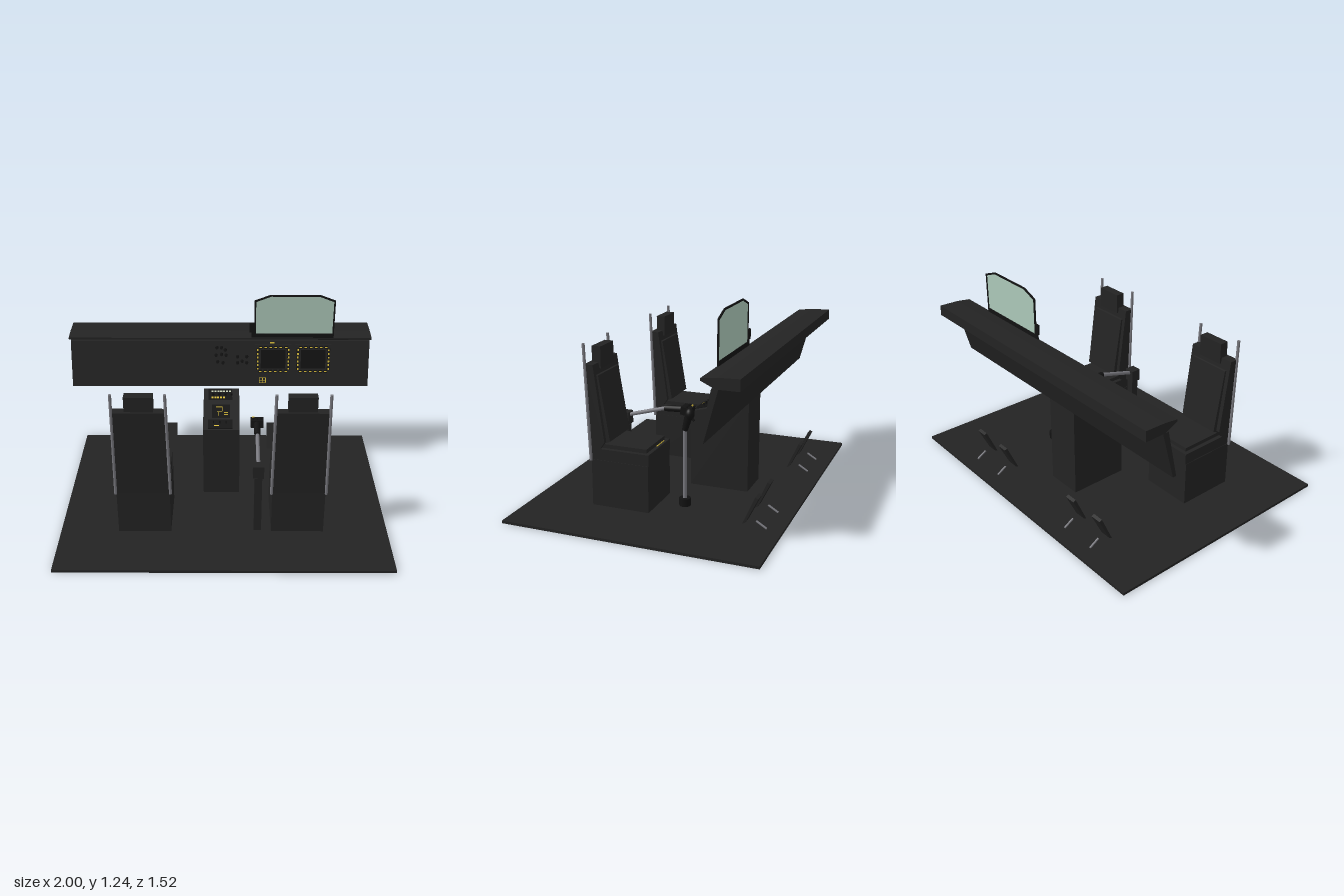
import * as THREE from 'three';

const mat = (name, color, side = THREE.FrontSide) => {
  const m = new THREE.MeshStandardMaterial({ color, side });
  m.name = name;
  return m;
};

export function createModel() {
  const root = new THREE.Group();
  root.name = 'cockpit';
  const dark = mat('charcoal', 0x232323);
  const black = mat('black', 0x121212);
  const grey = mat('rod grey', 0x77777d);
  const yellow = mat('marking yellow', 0xd8bc3a);
  const pale = mat('marking pale', 0xc2cbb4);
  const green = mat('glass green', 0xadc9b9, THREE.DoubleSide);

  const add = (parent, name, geo, m, x = 0, y = 0, z = 0) => {
    const mesh = new THREE.Mesh(geo, m);
    mesh.name = name;
    mesh.position.set(x, y, z);
    parent.add(mesh);
    return mesh;
  };
  const group = (name, x, y, z, rx = 0, parent = root) => {
    const g = new THREE.Group();
    g.name = name;
    g.position.set(x, y, z);
    g.rotation.x = rx;
    parent.add(g);
    return g;
  };
  // box given by its limits
  const box = (parent, name, m, x0, x1, y0, y1, z0, z1) =>
    add(parent, name, new THREE.BoxGeometry(x1 - x0, y1 - y0, z1 - z0), m,
      (x0 + x1) / 2, (y0 + y1) / 2, (z0 + z1) / 2);
  // side profile of [z, y] points swept across x
  const prism = (parent, name, m, pts, x0, x1) => {
    const geo = new THREE.ExtrudeGeometry(new THREE.Shape(pts.map(p => new THREE.Vector2(...p))),
      { depth: x1 - x0, bevelEnabled: false });
    geo.translate(0, 0, -(x1 - x0) / 2).rotateY(-Math.PI / 2);
    return add(parent, name, geo, m, (x0 + x1) / 2);
  };
  // straight round rod between two points
  const rod = (parent, name, m, a, b, r0, r1 = r0) => {
    const A = new THREE.Vector3(...a), B = new THREE.Vector3(...b);
    const mesh = add(parent, name, new THREE.CylinderGeometry(r1, r0, A.distanceTo(B), 16), m);
    mesh.position.copy(A).add(B).multiplyScalar(0.5);
    mesh.quaternion.setFromUnitVectors(new THREE.Vector3(0, 1, 0), B.sub(A).normalize());
    return mesh;
  };

  box(root, 'floor', dark, -1, 1, 0, 0.016, -0.76, 0.76);

  // Seats and pedals, one set per crew station
  for (const cx of [-0.485, 0.447]) {
    const s = group('seat', cx, 0, 0);
    box(s, 'seatBase', dark, -0.16, 0.16, 0.016, 0.3, 0.028, 0.385);
    box(s, 'seatPan', dark, -0.157, 0.157, 0.3, 0.368, 0.025, 0.385);
    box(s, 'seatCushion', dark, -0.132, 0.132, 0.368, 0.392, 0.048, 0.37);
    prism(s, 'seatBack', dark, [[0.388, 0.3], [0.33, 0.368], [0.302, 0.41], [0.363, 0.865], [0.418, 0.865]], -0.157, 0.157);
    prism(s, 'backCushion', dark, [[0.32, 0.392], [0.278, 0.41], [0.343, 0.8], [0.365, 0.805]], -0.132, 0.132);
    box(s, 'headrest', dark, -0.083, 0.083, 0.83, 0.958, 0.349, 0.404);
    for (const side of [-1, 1]) {
      rod(s, 'seatRail', grey, [side * 0.164, 0.295, 0.387], [side * 0.153, 0.985, 0.42], 0.009);
      const p = group('pedal', side * 0.117, 0, 0, 0, s);
      prism(p, 'pedalPlate', dark, [[-0.535, 0.042], [-0.553, 0.05], [-0.626, 0.2], [-0.608, 0.208]], -0.035, 0.035);
      rod(p, 'pedalRod', grey, [0, 0.055, -0.606], [0, 0.018, -0.667], 0.006);
    }
  }
  const tag = box(root, 'seatLabel', yellow, 0.405, 0.487, 0.388, 0.393, 0.01, 0.028);
  tag.rotation.x = 0.7;

  // Centre pedestal with controls on its sloping top
  prism(root, 'pedestal', dark, [[-0.035, 0.016], [-0.035, 0.49], [-0.405, 0.59], [-0.405, 0.016]], -0.135, 0.097);
  const top = group('pedestalControls', -0.019, 0.49, -0.035, 0.264);
  box(top, 'radioUnit', black, -0.085, 0.07, 0, 0.006, -0.375, -0.275);
  box(top, 'keypadUnit', black, -0.06, 0.055, 0, 0.006, -0.225, -0.11);
  box(top, 'switchUnit', black, -0.085, 0.07, 0, 0.004, -0.09, -0.01);
  for (let i = 0; i < 7; i++) {
    box(top, 'displayMark', pale, -0.066 + i * 0.019, -0.052 + i * 0.019, 0.006, 0.009, -0.352, -0.34);
    if (i < 5) box(top, 'radioKey', yellow, -0.066 + i * 0.019, -0.053 + i * 0.019, 0.006, 0.009, -0.295, -0.28);
    if (i < 4) add(top, 'knob', new THREE.CylinderGeometry(0.007, 0.008, 0.02, 12), black, -0.055 + i * 0.04, 0.014, -0.315);
  }
  for (const [x, z, w, d] of [[-0.015, -0.2, 0.04, 0.005], [0.005, -0.18, 0.005, 0.04], [-0.012, -0.16, 0.03, 0.005],
    [0.03, -0.15, 0.025, 0.005], [-0.02, -0.135, 0.005, 0.03], [0.03, -0.13, 0.025, 0.005], [-0.03, -0.03, 0.03, 0.005]])
    box(top, 'keypadMark', yellow, x - w / 2, x + w / 2, 0.006, 0.009, z - d / 2, z + d / 2);
  for (let i = 0; i < 3; i++)
    rod(top, 'toggle', black, [-0.05 + i * 0.04, 0, -0.055], [-0.05 + i * 0.04, 0.022, -0.06], 0.004);

  // Instrument panel and glareshield
  prism(root, 'instrumentPanel', dark, [[-0.407, 0.607], [-0.472, 0.903], [-0.51, 0.903], [-0.43, 0.607]], -1, 0.943);
  prism(root, 'glareshield', dark,
    [[-0.413, 0.94], [-0.413, 0.952], [-0.5, 0.963], [-0.625, 0.967], [-0.625, 0.902], [-0.495, 0.902]], -1, 0.943);

  // Instruments in the plane of the panel: y runs up the slope
  const face = group('instruments', 0, 0.607, -0.407, -0.216);
  for (const cx of [0.317, 0.578]) {
    const d = group('display', cx, 0.185, 0, 0, face);
    box(d, 'displayBezel', dark, -0.118, 0.118, -0.095, 0.095, 0, 0.012);
    box(d, 'displayScreen', black, -0.08, 0.08, -0.062, 0.062, 0.012, 0.015);
    for (let i = 0; i < 6; i++) for (const s of [-1, 1]) {
      const u = -0.0825 + i * 0.033, v = -0.0625 + i * 0.025;
      box(d, 'displayKey', black, u - 0.011, u + 0.011, s * 0.08 - 0.009, s * 0.08 + 0.009, 0.012, 0.02);
      box(d, 'keyMark', yellow, u - 0.008, u + 0.008, s * 0.08 - 0.003, s * 0.08 + 0.003, 0.02, 0.022);
      box(d, 'displayKey', black, s * 0.1 - 0.009, s * 0.1 + 0.009, v - 0.009, v + 0.009, 0.012, 0.02);
      box(d, 'keyMark', yellow, s * 0.1 - 0.005, s * 0.1 + 0.005, v - 0.006, v + 0.006, 0.02, 0.022);
    }
  }
  for (let i = 0; i < 3; i++) {
    box(face, 'panelMark', yellow, 0.228, 0.272, 0.02 + i * 0.017, 0.025 + i * 0.017, 0, 0.003);
    box(face, 'panelMark', yellow, 0.228 + i * 0.02, 0.232 + i * 0.02, 0.02, 0.058, 0, 0.003);
  }
  box(face, 'panelMark', yellow, 0.297, 0.325, 0.288, 0.296, 0, 0.003);
  // knob clusters: [x, y along slope]
  for (const [x, y] of [[-0.05, 0.26], [-0.02, 0.26], [0.005, 0.245], [-0.055, 0.21], [-0.02, 0.215], [0.01, 0.21],
    [-0.045, 0.165], [-0.01, 0.16], [0.085, 0.2], [0.145, 0.2], [0.085, 0.16], [0.115, 0.17], [0.145, 0.16]])
    add(face, 'panelKnob', new THREE.CylinderGeometry(0.009, 0.011, 0.022, 12).rotateX(Math.PI / 2), black, x, y, 0.011);

  // Head-up glass with a dark rim
  const hud = group('headUpGlass', 0, 0, -0.42);
  const outline = (e) => [[0.19 + e, 0.95 + 3 * e], [0.7 - e, 0.95 + 3 * e], [0.7 - e, 1.205 - e * 0.8],
    [0.6 - e * 0.3, 1.243 - e], [0.29 + e * 0.3, 1.243 - e], [0.19 + e, 1.205 - e * 0.8]].map(p => new THREE.Vector2(...p));
  const rim = new THREE.Shape(outline(0));
  rim.holes.push(new THREE.Path(outline(0.01)));
  add(hud, 'glassRim', new THREE.ExtrudeGeometry(rim, { depth: 0.008, bevelEnabled: false }), black, 0, 0, -0.004);
  add(hud, 'glass', new THREE.ShapeGeometry(new THREE.Shape(outline(0.009))), green);
  box(hud, 'glassControl', black, 0.16, 0.19, 0.99, 1.05, -0.008, 0.004);
  box(hud, 'glassBracket', black, 0.172, 0.19, 0.945, 0.99, -0.004, 0.004);

  // Side lever: post, hinge block, grey arm and dark grip
  const lever = group('sideLever', 0.204, 0, 0);
  box(lever, 'leverPost', dark, -0.023, 0.023, 0.016, 0.395, 0.328, 0.374);
  box(lever, 'leverHinge', dark, -0.033, 0.033, 0.402, 0.48, 0.32, 0.384);
  rod(lever, 'leverArm', grey, [0, 0.452, 0.36], [0, 0.53, 0.08], 0.012);
  rod(lever, 'leverGrip', black, [0, 0.528, 0.09], [0, 0.535, -0.04], 0.019, 0.021);
  const head = box(lever, 'leverHead', black, -0.038, 0.042, 0.508, 0.556, -0.088, -0.025);
  head.rotation.x = -0.15;
  for (let i = 0; i < 3; i++)
    add(lever, 'leverButton', new THREE.CylinderGeometry(0.007, 0.007, 0.012, 12), black, -0.022 + i * 0.024, 0.557, -0.06);
  box(lever, 'leverMark', yellow, -0.03, -0.015, 0.552, 0.56, -0.082, -0.074);

  // Control stick
  const stick = group('controlStick', 0.443, 0, 0);
  add(stick, 'stickBase', new THREE.CylinderGeometry(0.034, 0.034, 0.047, 20), black, 0, 0.051, -0.133);
  rod(stick, 'stickRod', grey, [0, 0.07, -0.133], [0, 0.5, -0.133], 0.012);
  rod(stick, 'stickGrip', black, [0, 0.49, -0.133], [0, 0.59, -0.16], 0.017, 0.025);
  const cap = add(stick, 'stickCap', new THREE.SphereGeometry(0.03, 20, 12), black, 0, 0.587, -0.163);
  cap.scale.set(0.95, 1.2, 0.9);
  rod(stick, 'stickTrigger', black, [0, 0.57, -0.175], [0, 0.55, -0.19], 0.007);
  return root;
}
